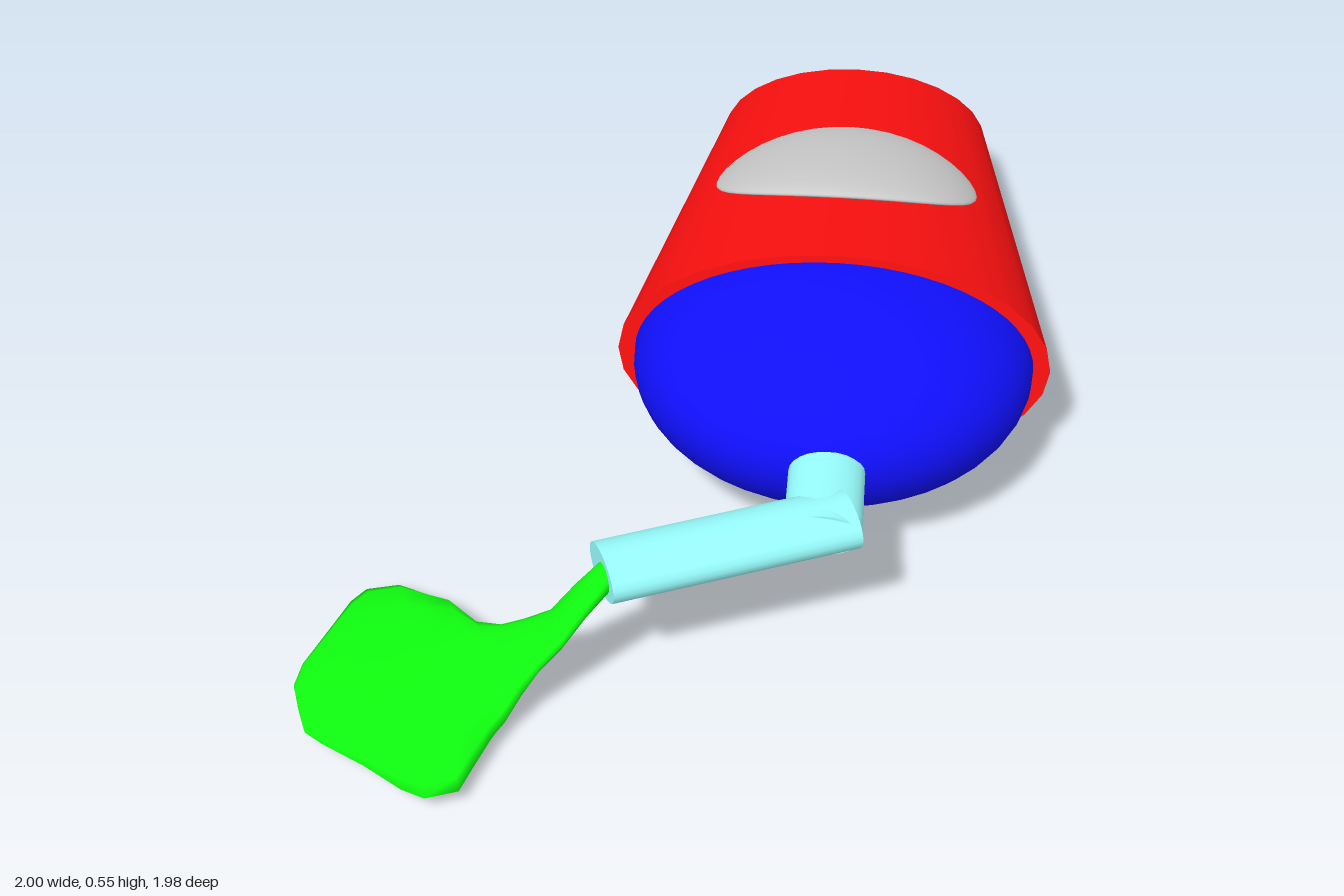
import * as THREE from 'three';

const mat = (color) => new THREE.MeshStandardMaterial({ color });
const RED = mat(0xff1010), BLUE = mat(0x1010ff), CYAN = mat(0x99ffff), GREEN = mat(0x10ff10), GREY = mat(0xcccccc);

function add(parent, name, geometry, material) {
  const mesh = new THREE.Mesh(geometry, material);
  mesh.name = name;
  parent.add(mesh);
  return mesh;
}

// Oval bar between two points
function bar(parent, name, a, b, rx, ry) {
  const from = new THREE.Vector3(...a), to = new THREE.Vector3(...b);
  const geo = new THREE.CylinderGeometry(1, 1, from.distanceTo(to), 24)
    .rotateX(Math.PI / 2).scale(rx, ry, 1);
  const mesh = add(parent, name, geo, CYAN);
  mesh.position.copy(from).lerp(to, 0.5);
  mesh.lookAt(to);
}

// Closed skin over oval sections [x, zCentre, halfWidth, yCentre, halfHeight]
function loft(sections, sides) {
  const pos = [], idx = [];
  for (const [x, zc, w, yc, h] of sections)
    for (let j = 0; j < sides; j++) {
      const a = (j / sides) * Math.PI * 2;
      pos.push(x, yc + h * Math.cos(a), zc + w * Math.sin(a));
    }
  for (let i = 0; i < sections.length - 1; i++)
    for (let j = 0; j < sides; j++) {
      const k = (j + 1) % sides;
      const a = i * sides + j, b = i * sides + k, c = a + sides, d = b + sides;
      idx.push(a, b, c, b, d, c);
    }
  const geo = new THREE.BufferGeometry();
  geo.setAttribute('position', new THREE.Float32BufferAttribute(pos, 3));
  geo.setIndex(idx);
  geo.computeVertexNormals();
  return geo;
}

export function createModel() {
  const root = new THREE.Group();
  root.name = 'model';

  // Body: flattened tapering barrel, front rim at the local origin
  const R0 = 0.483, R1 = 0.328, LEN = 1.08, FLAT = 0.555;
  const body = new THREE.Group();
  body.name = 'body';
  body.position.set(0.31, 0.285, 0.13);
  body.rotation.set(-0.082, -0.365, 0, 'YXZ');
  root.add(body);
  add(body, 'barrel', new THREE.CylinderGeometry(R0, R1, LEN, 28)
    .rotateX(Math.PI / 2).translate(0, 0, -LEN / 2).scale(1, FLAT, 1), RED);
  add(body, 'frontDome', new THREE.SphereGeometry(0.445, 40, 28).scale(1, 0.562, 1), BLUE);

  // Oval pad that follows the curve of the barrel top
  const pad = new THREE.SphereGeometry(1, 40, 24);
  const p = pad.attributes.position;
  for (let i = 0; i < p.count; i++) {
    const u = p.getX(i) * 0.307, v = p.getZ(i) * 0.198 - 0.497;
    const w = R0 + (R1 - R0) * (-v / LEN);
    const top = FLAT * Math.sqrt(Math.max(0, w * w - u * u));
    p.setXYZ(i, u, top + 0.004 + 0.027 * p.getY(i), v);
  }
  pad.computeVertexNormals();
  add(body, 'topPad', pad, GREY);

  // Bent arm
  const arm = new THREE.Group();
  arm.name = 'arm';
  root.add(arm);
  bar(arm, 'upperArm', [0.20, 0.315, 0.44], [0.09, 0.325, 0.74], 0.081, 0.05);
  bar(arm, 'forearm', [0.16, 0.325, 0.70], [-0.372, 0.325, 0.73], 0.081, 0.05);

  // Flat fan-shaped hand rising to a thin wrist
  add(root, 'hand', loft([
    [-1.0, 0.68, 0.001, 0.06, 0.001],
    [-0.998, 0.68, 0.07, 0.06, 0.008],
    [-0.97, 0.67, 0.12, 0.059, 0.016],
    [-0.9, 0.665, 0.205, 0.057, 0.024],
    [-0.84, 0.665, 0.285, 0.053, 0.029],
    [-0.8, 0.665, 0.318, 0.05, 0.033],
    [-0.73, 0.665, 0.315, 0.048, 0.038],
    [-0.69, 0.655, 0.27, 0.048, 0.041],
    [-0.64, 0.645, 0.215, 0.05, 0.044],
    [-0.6, 0.675, 0.147, 0.06, 0.047],
    [-0.56, 0.70, 0.1, 0.105, 0.042],
    [-0.52, 0.72, 0.075, 0.155, 0.027],
    [-0.47, 0.735, 0.052, 0.2, 0.028],
    [-0.42, 0.742, 0.043, 0.27, 0.033],
    [-0.37, 0.745, 0.036, 0.325, 0.032],
    [-0.34, 0.745, 0.001, 0.33, 0.001],
  ], 16), GREEN);

  return root;
}
